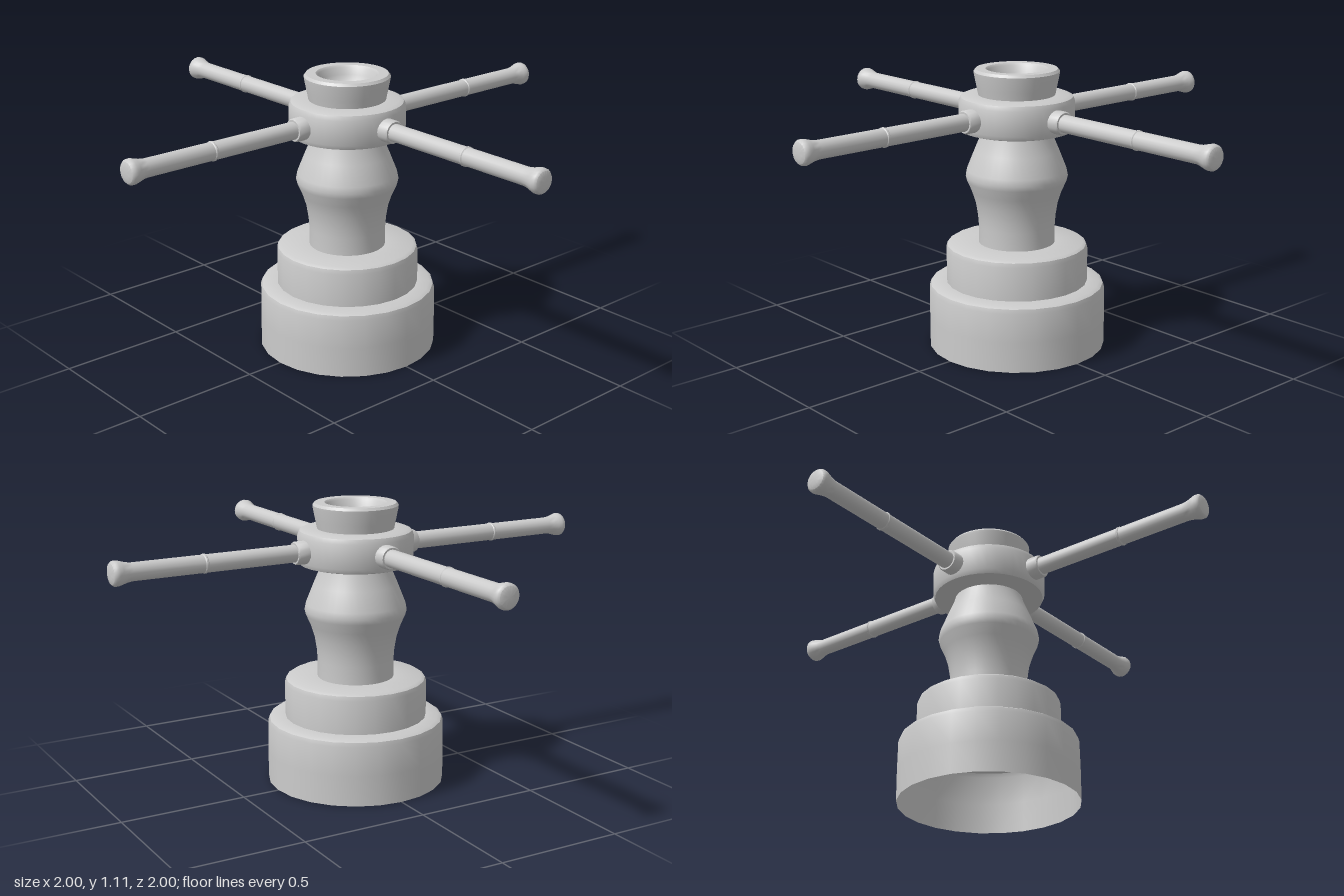
import * as THREE from 'three';
import { toCreasedNormals } from 'three/addons/utils/BufferGeometryUtils.js';

const material = new THREE.MeshStandardMaterial({ color: 0xcccccc, side: THREE.DoubleSide });

// Turned part from [radius, height] pairs
function turned(name, profile, sides = 40) {
  const points = profile.map(([r, y]) => new THREE.Vector2(r, y));
  const geometry = toCreasedNormals(new THREE.LatheGeometry(points, sides), 0.7);
  const mesh = new THREE.Mesh(geometry, material);
  mesh.name = name;
  return mesh;
}

export function createModel() {
  const group = new THREE.Group();
  group.name = 'valveHandle';

  // Stepped base: hollow skirt, open underneath
  group.add(turned('base', [
    [0.35, 0], [0.35, 0.12], [0.348, 0.235], [0.343, 0.252], [0.328, 0.26],
    [0.28, 0.262], [0.28, 0.395], [0.275, 0.412], [0.262, 0.42], [0.14, 0.42],
  ], 24));

  // Waisted stem
  group.add(turned('stem', [
    [0.15, 0.415], [0.15, 0.49], [0.153, 0.53], [0.161, 0.58], [0.177, 0.63],
    [0.195, 0.67], [0.2, 0.69], [0.195, 0.715], [0.165, 0.79], [0.14, 0.85], [0.133, 0.88],
  ]));

  // Hub carrying the arms
  group.add(turned('hub', [
    [0.1, 0.868], [0.2, 0.868], [0.217, 0.873], [0.225, 0.89], [0.225, 0.985],
    [0.217, 1.003], [0.2, 1.01], [0.14, 1.01],
  ]));

  // Flared cap with a bowl-shaped recess
  group.add(turned('cap', [
    [0.148, 1.005], [0.155, 1.04], [0.165, 1.09], [0.166, 1.1], [0.158, 1.11],
    [0.12, 1.11], [0.112, 1.102], [0.106, 1.075], [0.09, 1.05], [0.06, 1.035], [0, 1.03],
  ]));

  // Four arms: socket, rod with a thin joint ring, flared rounded tip
  for (let i = 0; i < 4; i++) {
    const arm = new THREE.Group();
    arm.name = 'arm' + (i + 1);
    arm.add(
      turned('socket', [
        [0.045, 0.2], [0.045, 0.262], [0.041, 0.268], [0.03, 0.268],
      ], 20),
      turned('rod', [
        [0.034, 0.2], [0.034, 0.632], [0.037, 0.635], [0.037, 0.641], [0.034, 0.644],
        [0.034, 0.92], [0.037, 0.94], [0.043, 0.96], [0.047, 0.975],
        [0.046, 0.988], [0.039, 0.996], [0.02, 0.999], [0, 1],
      ], 20),
    );
    arm.rotation.set(0, i * Math.PI / 2, -Math.PI / 2);
    arm.position.y = 0.935;
    group.add(arm);
  }
  return group;
}
